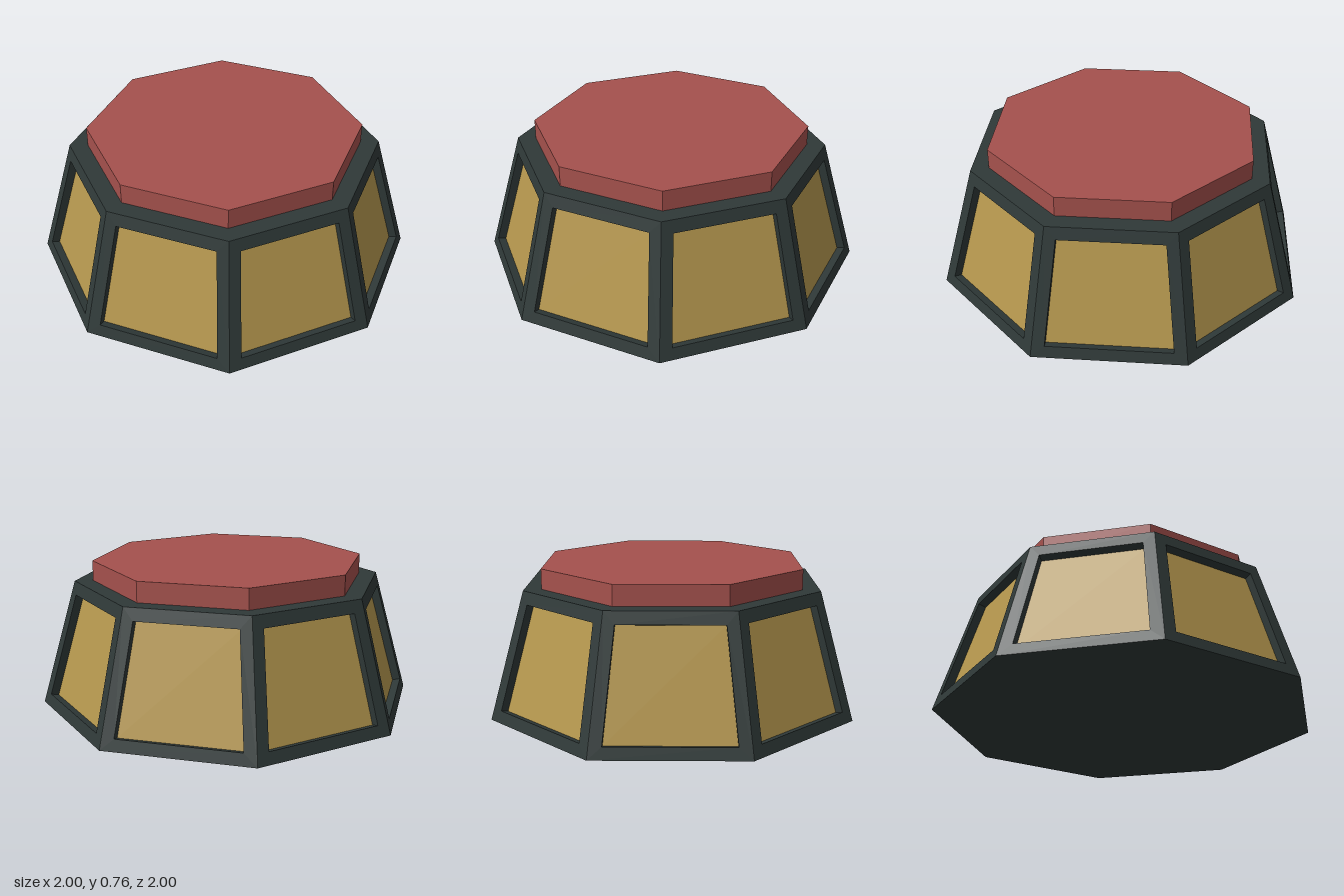
import * as THREE from 'three';

const SIDES = 8;
const HEIGHT = 0.66, R_BOTTOM = 1, R_TOP = 0.81;
const CAP_RADIUS = 0.715, CAP_HEIGHT = 0.105;
const RECESS = 0.042;

const mat = (name, color) => {
  const m = new THREE.MeshStandardMaterial({ color, flatShading: true });
  m.name = name;
  return m;
};

// Geometry from a list of four-cornered faces, counter-clockwise from outside
function quads(list) {
  const points = list.flatMap(([a, b, c, d]) => [a, b, c, a, c, d]);
  const g = new THREE.BufferGeometry().setFromPoints(points);
  g.computeVertexNormals();
  return g;
}

export function createModel() {
  const model = new THREE.Group();
  model.name = 'octagonalLantern';
  const frameMat = mat('dark frame', 0x2f3938);
  const glassMat = mat('amber panel', 0xb5974e);
  const capMat = mat('red cap', 0xa5514d);

  const add = (parent, name, geometry, material) => {
    const mesh = new THREE.Mesh(geometry, material);
    mesh.name = name;
    parent.add(mesh);
    return mesh;
  };

  // One sloping side, facing +z
  const half = Math.PI / SIDES;
  const apothem = (y) => (R_BOTTOM + (R_TOP - R_BOTTOM) * y / HEIGHT) * Math.cos(half);
  const corners = (y0, w0, y1, w1) => [[-w0, y0], [w0, y0], [w1, y1], [-w1, y1]]
    .map(([x, y]) => new THREE.Vector3(x, y, apothem(y)));
  const outer = corners(0, R_BOTTOM * Math.sin(half), HEIGHT, R_TOP * Math.sin(half));
  const opening = corners(0.06, 0.313, 0.597, 0.257);
  const inward = new THREE.Vector3(0, apothem(0) - apothem(HEIGHT), HEIGHT)
    .normalize().multiplyScalar(-RECESS);
  const deep = opening.map((p) => p.clone().add(inward));

  // Border around the opening, then the walls of the recess
  const ring = (a, b) => a.map((p, i) => [p, a[(i + 1) % 4], b[(i + 1) % 4], b[i]]);
  const frameGeo = quads([...ring(outer, opening), ...ring(opening, deep)]);
  const panelGeo = quads([deep]);

  for (let i = 0; i < SIDES; i++) {
    const side = new THREE.Group();
    side.name = `side${i + 1}`;
    side.rotation.y = half * (2 * i + 1);
    add(side, 'sideFrame', frameGeo, frameMat);
    add(side, 'sidePanel', panelGeo, glassMat);
    model.add(side);
  }

  // Closed top and underside of the body
  const top = add(model, 'bodyTop', new THREE.CircleGeometry(R_TOP, SIDES), frameMat);
  top.rotation.x = -Math.PI / 2;
  top.position.y = HEIGHT;
  const base = add(model, 'bodyBase', new THREE.CircleGeometry(R_BOTTOM, SIDES), frameMat);
  base.rotation.x = Math.PI / 2;

  // Raised cap
  const cap = add(model, 'cap',
    new THREE.CylinderGeometry(CAP_RADIUS, CAP_RADIUS, CAP_HEIGHT, SIDES), capMat);
  cap.position.y = HEIGHT + CAP_HEIGHT / 2;

  return model;
}
